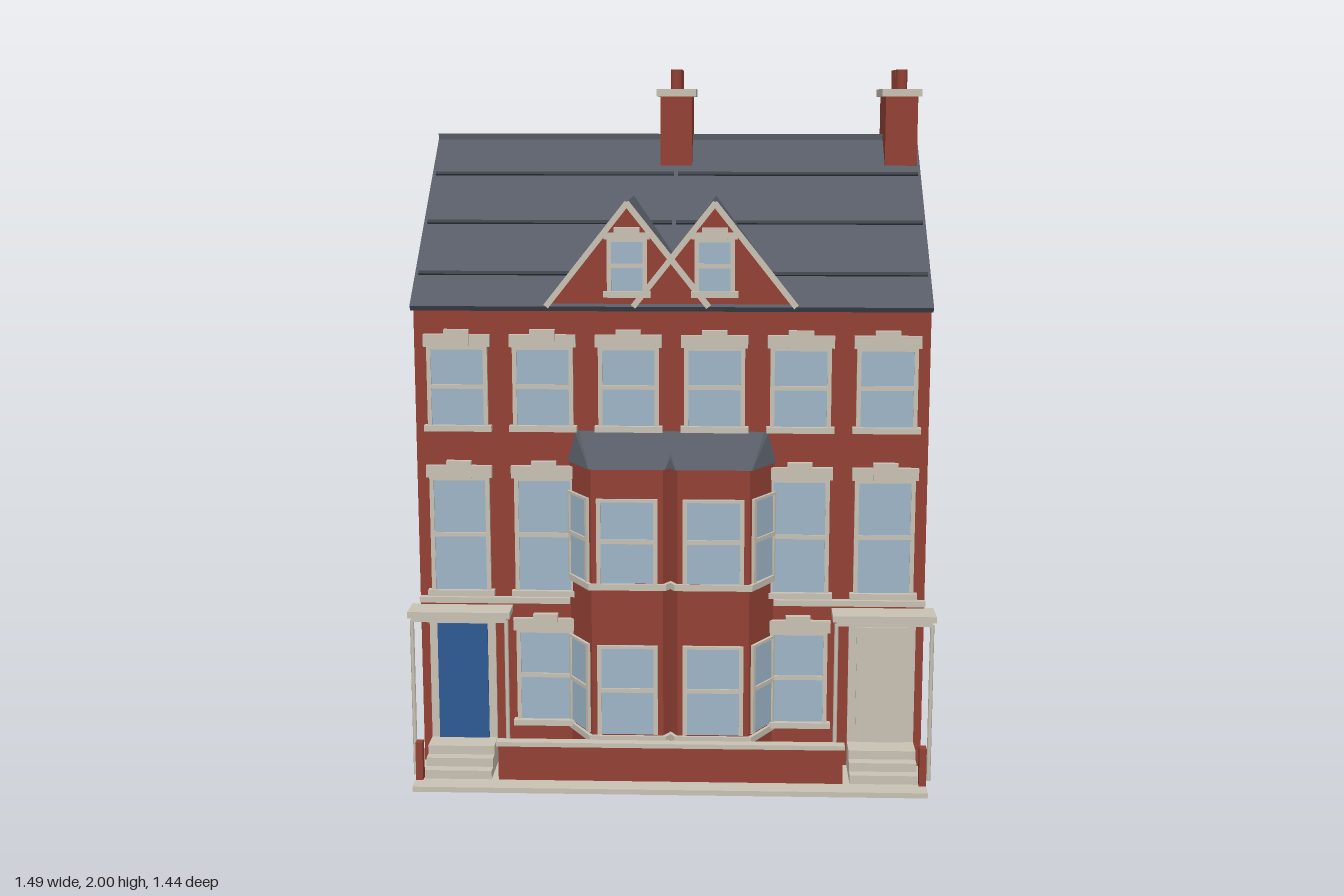
import * as THREE from 'three';
import { ConvexGeometry } from 'three/addons/geometries/ConvexGeometry.js';

const mat = (name, color) => {
  const m = new THREE.MeshStandardMaterial({ color });
  m.name = name;
  return m;
};

export function createModel() {
  const brick = mat('brick', 0x934134), cream = mat('cream stone', 0xc9c2b4), slate = mat('slate', 0x565b65);
  const glass = mat('window glass', 0x9db5c8), blue = mat('blue paint', 0x2d5a94), green = mat('green plastic', 0x3a6140);
  const gold = mat('autumn gold', 0xb8963c), dark = mat('dark metal', 0x3c4049), grey = mat('lid grey', 0x9095a0);
  const house = new THREE.Group();
  house.name = 'terracedHouse';

  const add = (parent, name, geo, material) => {
    const m = new THREE.Mesh(geo, material);
    m.name = name;
    parent.add(m);
    return m;
  };
  // box given by its minimum and maximum corners
  const box = (parent, name, m, x0, x1, y0, y1, z0, z1) => {
    const b = add(parent, name, new THREE.BoxGeometry(x1 - x0, y1 - y0, z1 - z0), m);
    b.position.set((x0 + x1) / 2, (y0 + y1) / 2, (z0 + z1) / 2);
    return b;
  };
  const rod = (parent, name, m, r, x, y0, y1, z, sides = 8) => {
    const c = add(parent, name, new THREE.CylinderGeometry(r, r, y1 - y0, sides), m);
    c.position.set(x, (y0 + y1) / 2, z);
    return c;
  };
  // sash window facing local +z, origin at the bottom centre of the glass
  const sash = (name, w, h, { lintel = 0.035, key = true, sill = true } = {}) => {
    const g = new THREE.Group(), a = w / 2;
    g.name = name;
    house.add(g);
    box(g, 'glass', glass, -a, a, 0, h, -0.004, 0.004);
    for (const s of [-1, 1]) {
      const x = s * (a + 0.004);
      box(g, 'jamb', cream, x - 0.006, x + 0.006, 0, h, -0.004, 0.009);
    }
    box(g, 'meetingRail', cream, -a, a, h * 0.5 - 0.006, h * 0.5 + 0.006, 0, 0.009);
    box(g, 'headRail', cream, -a, a, h - 0.008, h, 0, 0.009);
    if (sill) box(g, 'sill', cream, -a - 0.02, a + 0.02, -0.014, 0.003, -0.004, 0.018);
    if (lintel) box(g, 'lintel', cream, -a - 0.018, a + 0.018, h, h + lintel, -0.004, 0.013);
    if (key) box(g, 'keystone', cream, -0.035, 0.035, h, h + lintel + 0.014, -0.004, 0.017);
    return g;
  };

  // plot and walls
  box(house, 'groundSlab', cream, -0.72, 0.718, 0, 0.015, -0.72, 0.72);
  box(house, 'brickWalls', brick, -0.72, 0.718, 0.012, 1.365, -0.46, 0.52);

  // pitched roof with open gable ends
  const ridge = { y: 1.792, z: 0.03 };
  for (const s of [-1, 1]) {
    const run = 0.54, drop = 0.447, len = Math.hypot(run, drop);
    const slope = new THREE.Group();
    slope.name = s > 0 ? 'frontRoofSlope' : 'backRoofSlope';
    slope.position.set(0, ridge.y - drop / 2, ridge.z + s * run / 2);
    slope.rotation.x = s * Math.atan2(drop, run);
    house.add(slope);
    box(slope, 'slates', slate, -0.72, 0.718, -0.009, 0.009, -len / 2, len / 2);
    for (const t of [0.23, 0.525, 0.82]) {
      const z = s * (t - 0.5) * len;
      for (const side of [-1, 1]) {
        const x = side * 0.358;
        box(slope, 'slateCourse', dark, x - 0.352, x + 0.352, 0.008, 0.014, z - 0.006, z + 0.006);
      }
    }
  }
  box(house, 'ridgeTile', slate, -0.72, 0.718, 1.79, 1.812, 0.019, 0.041);

  // chimneys
  for (const x of [0, 0.662]) {
    const g = new THREE.Group();
    g.name = 'chimney';
    house.add(g);
    box(g, 'stack', brick, x - 0.047, x + 0.047, 1.695, 1.925, -0.07, 0.13);
    box(g, 'cap', cream, x - 0.058, x + 0.058, 1.922, 1.944, -0.083, 0.137);
    for (const z of [-0.042, 0.026, 0.095]) rod(g, 'pot', brick, 0.017, x, 1.94, 2, z);
  }

  // twin dormers
  for (const x of [-0.12, 0.12]) {
    const tri = new THREE.Shape([new THREE.Vector2(-0.222, 0), new THREE.Vector2(0.222, 0), new THREE.Vector2(0, 0.28)]);
    const geo = new THREE.ExtrudeGeometry(tri, { depth: 0.33, bevelEnabled: false });
    add(house, 'dormer', geo, [brick, slate]).position.set(x, 1.358, 0.237);
    for (const s of [-1, 1]) {
      const b = add(house, 'bargeBoard', new THREE.BoxGeometry(0.362, 0.016, 0.014), cream);
      b.position.set(x + s * 0.111, 1.494, 0.572);
      b.rotation.z = -s * Math.atan2(0.28, 0.222);
    }
    sash('dormerWindow', 0.09, 0.145, { lintel: 0.018 }).position.set(x, 1.392, 0.569);
  }

  // front windows
  for (const s of [-1, 1]) {
    for (const x of [0.12, 0.36, 0.6]) sash('topFloorWindow', 0.15, 0.225).position.set(s * x, 1.008, 0.523);
    for (const x of [0.36, 0.6]) sash('middleFloorWindow', 0.15, 0.33).position.set(s * x, 0.53, 0.523);
    sash('groundFloorWindow', 0.15, 0.27).position.set(s * 0.36, 0.145, 0.523);
    box(house, 'stringCourse', cream, s * 0.505 - 0.215, s * 0.505 + 0.215, 0.495, 0.512, 0.515, 0.538);
  }

  // twin bays, made from one tapering plan
  const plan = (grow, h) => {
    const p = [[-0.175, 0.51], [-0.1, 0.63], [0.1, 0.63], [0.175, 0.51]];
    const shape = new THREE.Shape(p.map(([x, z]) => new THREE.Vector2(x + Math.sign(x) * grow, -z - (z > 0.6 ? grow : 0))));
    return new THREE.ExtrudeGeometry(shape, { depth: h, bevelEnabled: false }).rotateX(-Math.PI / 2);
  };
  for (const s of [-1, 1]) {
    const cx = s * 0.12;
    add(house, 'bayWalls', plan(0, 0.9), brick).position.set(cx, 0.012, 0);
    for (const y of [0.122, 0.565]) add(house, 'baySillBand', plan(0.008, 0.018), cream).position.set(cx, y, 0);
    const pts = [];
    for (const t of [-1, 1]) {
      for (const [x, y, z] of [[0.18, 0.908, 0.51], [0.105, 0.908, 0.636], [0.155, 0.995, 0.51], [0.14, 0.995, 0.525]])
        pts.push(new THREE.Vector3(t * x, y, z));
    }
    add(house, 'bayRoof', new ConvexGeometry(pts), slate).position.x = cx;
    for (const [y, h] of [[0.145, 0.26], [0.585, 0.24]]) {
      const plain = { lintel: 0, key: false, sill: false };
      sash('bayFrontWindow', 0.15, h, plain).position.set(cx, y, 0.632);
      const side = sash('baySideWindow', 0.1, h, plain);
      side.position.set(cx + s * 0.1375, y, 0.57);
      side.rotation.y = s * Math.atan2(0.12, 0.075);
    }
  }

  // entrances: door, steps, canopy and gate pier on each side
  for (const s of [-1, 1]) {
    const g = new THREE.Group(), x = s * 0.6;
    g.name = s < 0 ? 'rightEntrance' : 'leftEntrance';
    house.add(g);
    box(g, 'doorSurround', cream, x - 0.095, x + 0.095, 0.03, 0.46, 0.515, 0.528);
    box(g, 'door', s < 0 ? blue : cream, x - 0.072, x + 0.072, 0.09, 0.432, 0.525, 0.533);
    for (const [y, z] of [[0.04, 0.66], [0.065, 0.63], [0.09, 0.6]]) box(g, 'step', cream, x - 0.095, x + 0.095, 0.012, y, 0.51, z);
    box(g, 'canopy', cream, x - 0.145, x + 0.145, 0.468, 0.486, 0.515, 0.602);
    box(g, 'canopyFrieze', cream, x - 0.135, x + 0.135, 0.455, 0.47, 0.515, 0.596);
    for (const t of [-1, 1]) rod(g, 'canopyPost', cream, 0.006, x + t * 0.134, t === s ? 0.0 : 0.012, 0.46, 0.59);
    box(g, 'gatePier', brick, s * 0.708 - 0.01, s * 0.708 + 0.01, 0.012, 0.125, 0.645, 0.672);
  }
  box(house, 'gardenWall', brick, -0.485, 0.485, 0.012, 0.117, 0.639, 0.661);
  box(house, 'gardenWallCoping', cream, -0.49, 0.49, 0.115, 0.128, 0.635, 0.665);

  // back windows
  for (const x of [-0.54, -0.18, 0.18, 0.54]) {
    for (const y of [0.615, 1.05]) {
      const w = sash('backWindow', 0.105, 0.205, { lintel: 0.015, key: false });
      w.position.set(x, y, -0.463);
      w.rotation.y = Math.PI;
      w.children.filter((c) => c.name === 'meetingRail').forEach((c) => w.remove(c));
    }
  }

  // bins along the back
  const bins = [[0.617, blue], [0.53, blue], [0.445, green], [0.33, green], [0.245, dark], [0.16, dark], [-0.13, dark]];
  for (const [x, m] of bins) {
    rod(house, 'binBody', m, 0.032, x, 0.015, 0.152, -0.665);
    rod(house, 'binLid', grey, 0.036, x, 0.15, 0.164, -0.665);
  }

  // posts and small tree in the back yard
  for (const x of [-0.39, -0.31, -0.23]) rod(house, 'yardPost', grey, 0.005, x, 0.012, 0.115, -0.52, 6);
  rod(house, 'treeTrunk', dark, 0.011, -0.575, 0.012, 0.2, -0.59, 6);
  add(house, 'treeCrown', new THREE.IcosahedronGeometry(0.08, 0), gold).position.set(-0.575, 0.245, -0.59);

  return house;
}
